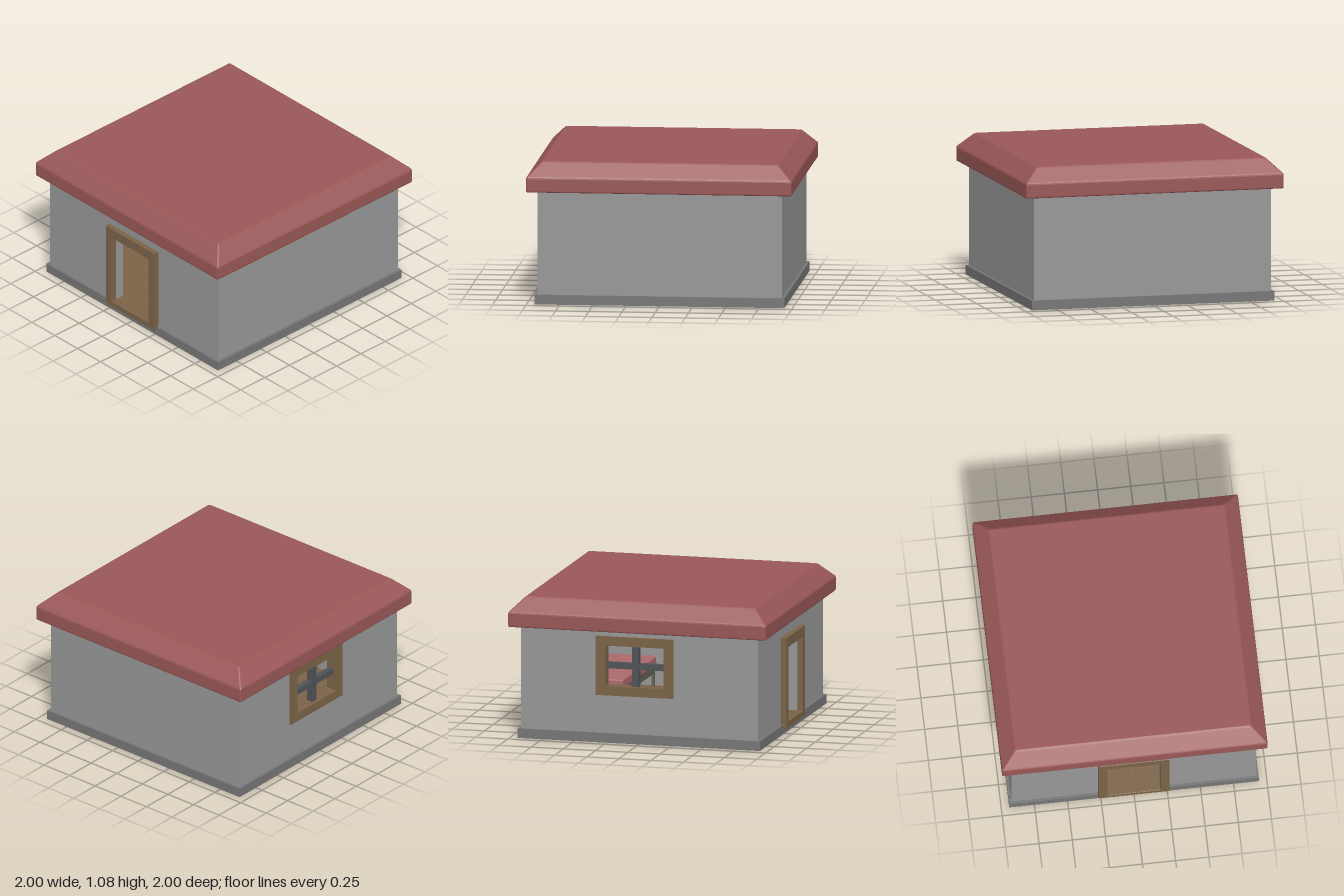
import * as THREE from 'three';
import { RoundedBoxGeometry } from 'three/addons/geometries/RoundedBoxGeometry.js';

const material = (color) => new THREE.MeshStandardMaterial({ color });
const WALL = material(0x979797);
const BASE = material(0x767676);
const ROOF = material(0x995757);
const WOOD = material(0x7b6347);
const DARK = material(0x505356);
const CLOTH = material(0xac696b);
const BED = material(0x626151);

function add(parent, name, geometry, mat, x = 0, y = 0, z = 0) {
  const mesh = new THREE.Mesh(geometry, mat);
  mesh.name = name;
  mesh.position.set(x, y, z);
  parent.add(mesh);
  return mesh;
}

const box = (w, h, d) => new THREE.BoxGeometry(w, h, d);

// Rectangle path; bounds are [x0, x1, y0, y1]
function rect(PathType, [x0, x1, y0, y1]) {
  const p = new PathType();
  p.moveTo(x0, y0);
  p.lineTo(x1, y0);
  p.lineTo(x1, y1);
  p.lineTo(x0, y1);
  p.closePath();
  return p;
}

// Panel with a rectangular opening, extruded from z0 to z1
function panel(outer, hole, z0, z1, bevel = 0) {
  const b = bevel;
  const shape = rect(THREE.Shape, [outer[0] + b, outer[1] - b, outer[2] + b, outer[3] - b]);
  shape.holes.push(rect(THREE.Path, [hole[0] - b, hole[1] + b, hole[2] - b, hole[3] + b]));
  return new THREE.ExtrudeGeometry(shape, {
    depth: z1 - z0 - 2 * b,
    bevelEnabled: b > 0,
    bevelSize: b,
    bevelThickness: b,
    bevelSegments: 1,
  }).translate(0, 0, z0 + b);
}

// Square loft with rounded corners; profile holds [half width, height]
function squareLoft(profile, radius) {
  const positions = [];
  const corners = [[1, 1], [-1, 1], [-1, -1], [1, -1]];
  const rings = profile.map(([h, y]) => corners.flatMap(([sx, sz], c) =>
    [0, 1, 2, 3].map((k) => {
      const a = (c + k / 3) * Math.PI / 2;
      return [sx * (h - radius) + radius * Math.cos(a), y, sz * (h - radius) + radius * Math.sin(a)];
    })));
  const count = rings[0].length;
  const tri = (a, b, c) => positions.push(...a, ...b, ...c);
  for (let r = 0; r < rings.length - 1; r++) {
    for (let k = 0; k < count; k++) {
      const n = (k + 1) % count;
      const [a, b, c, d] = [rings[r][k], rings[r][n], rings[r + 1][n], rings[r + 1][k]];
      tri(a, c, b);
      tri(a, d, c);
    }
  }
  const bottom = rings[0];
  const top = rings[rings.length - 1];
  for (let k = 1; k < count - 1; k++) {
    tri(bottom[0], bottom[k], bottom[k + 1]);
    tri(top[0], top[k + 1], top[k]);
  }
  const g = new THREE.BufferGeometry();
  g.setAttribute('position', new THREE.Float32BufferAttribute(positions, 3));
  g.computeVertexNormals();
  return g;
}

function createBed() {
  const bed = new THREE.Group();
  bed.name = 'bed';
  const length = 0.93, width = 0.46;
  add(bed, 'mattress', new RoundedBoxGeometry(length + 0.02, 0.07, width + 0.02, 2, 0.012), CLOTH, 0, 0.279, 0);
  add(bed, 'bedFrame', box(length, 0.06, width), BED, 0, 0.214, 0);
  for (const sx of [-1, 1]) {
    for (const sz of [-1, 1]) {
      add(bed, 'bedLeg', box(0.022, 0.105, 0.022), BED,
        sx * (length / 2 - 0.011), 0.1325, sz * (width / 2 - 0.011));
    }
  }
  return bed;
}

export function createModel() {
  const house = new THREE.Group();
  house.name = 'house';

  // Foundation and plank floor
  add(house, 'foundation', box(1.88, 0.072, 1.88), BASE, 0, 0.036, 0);
  const planks = 12, pitch = 1.7 / planks;
  for (let i = 0; i < planks; i++) {
    add(house, 'floorPlank', box(pitch - 0.004, 0.013, 1.7), WOOD, -0.85 + (i + 0.5) * pitch, 0.0785, 0);
  }

  // Walls: front has the doorway, right has the window opening
  const low = 0.072, high = 0.86, out = 0.92, inn = 0.85;
  const door = [-0.2, 0.197, 0.088, 0.65];
  const frame = [-0.335, 0.265, 0.36, 0.81];
  const pane = [-0.26, 0.19, 0.43, 0.74];
  const opening = [-0.275, 0.205, 0.415, 0.755];
  const toRight = (g) => g.rotateY(-Math.PI / 2);
  add(house, 'frontWall', panel([-out, out, low, high], door, inn, out), WALL);
  add(house, 'rightWall', toRight(panel([-inn, inn, low, high], opening, inn, out)), WALL);
  add(house, 'backWall', box(2 * out, high - low, out - inn), WALL, 0, (low + high) / 2, -(out + inn) / 2);
  add(house, 'leftWall', box(out - inn, high - low, 2 * inn), WALL, (out + inn) / 2, (low + high) / 2, 0);

  // Door frame with its sill
  add(house, 'doorFrame', panel([-0.27, 0.267, 0.043, 0.732], door, out - 0.002, 0.96, 0.004), WOOD);
  add(house, 'doorSill', box(0.397, 0.01, 0.08), WOOD, -0.0015, 0.085, 0.885);

  // Window with crossed bars
  const windowZ = (pane[0] + pane[1]) / 2;
  add(house, 'windowFrame', toRight(panel(frame, pane, out - 0.002, 0.936)), WOOD);
  add(house, 'windowLining', toRight(panel(opening, pane, inn - 0.002, out)), WOOD);
  add(house, 'windowBarUpright', box(0.05, 0.31, 0.05), DARK, -0.885, 0.585, windowZ);
  add(house, 'windowBarCross', box(0.046, 0.046, 0.45), DARK, -0.885, 0.585, windowZ);

  // Bed in the far corner
  const bed = createBed();
  bed.position.set(0.365, 0, -0.59);
  house.add(bed);

  // Roof slab with softened edges and sloped shoulders
  add(house, 'roof', squareLoft([
    [0.988, 0.854], [0.9955, 0.856], [0.999, 0.861], [1, 0.868],
    [1, 0.955], [0.998, 0.965], [0.992, 0.973],
    [0.897, 1.068], [0.889, 1.075], [0.88, 1.078],
  ], 0.012), ROOF);

  return house;
}
